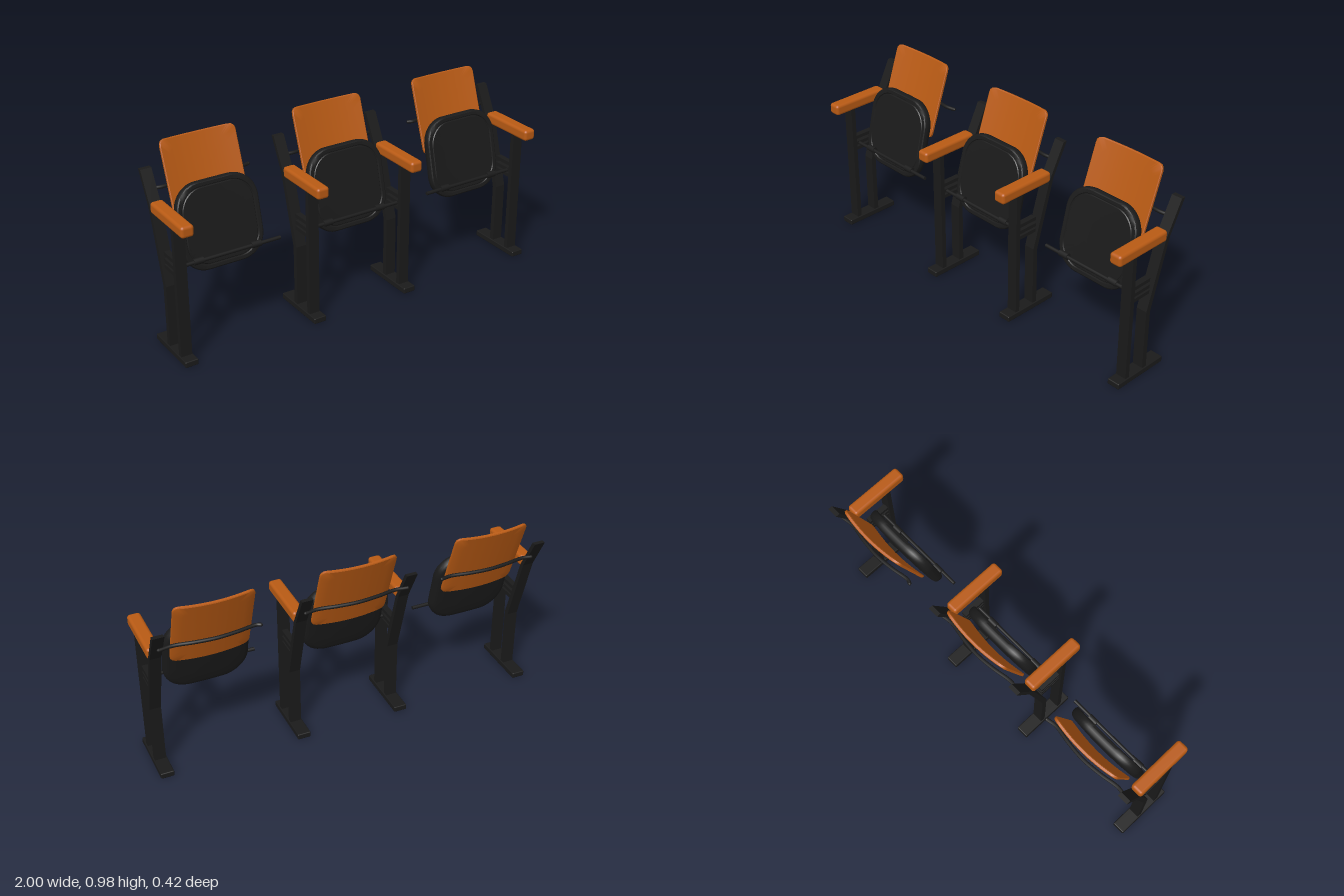
import * as THREE from 'three';
import { RoundedBoxGeometry } from 'three/addons/geometries/RoundedBoxGeometry.js';
import { toCreasedNormals } from 'three/addons/utils/BufferGeometryUtils.js';

const black = new THREE.MeshStandardMaterial({ color: 0x1a1a1a });
const wood = new THREE.MeshStandardMaterial({ color: 0xb85a14 });

function add(parent, name, geometry, material, x = 0, y = 0, z = 0) {
  const mesh = new THREE.Mesh(geometry, material);
  mesh.name = name;
  mesh.position.set(x, y, z);
  parent.add(mesh);
  return mesh;
}

// Rounded-rectangle slab from scaled rings [scale, z], back to front, bowed backwards across x
function slab(a, b, r, rings, bow) {
  const s = new THREE.Shape();
  s.moveTo(a, 0);
  s.absarc(a - r, b - r, r, 0, Math.PI / 2);
  s.absarc(-a + r, b - r, r, Math.PI / 2, Math.PI);
  s.absarc(-a + r, -b + r, r, Math.PI, Math.PI * 1.5);
  s.absarc(a - r, -b + r, r, Math.PI * 1.5, Math.PI * 2);
  s.closePath();
  const n = 96, outline = s.getSpacedPoints(n).slice(0, n);
  const pos = [], index = [];
  for (const [k, z] of rings)
    for (const p of outline) {
      const x = p.x * k;
      pos.push(x, p.y * k, z + bow * ((x / a) ** 2 - 0.5));
    }
  for (let i = 0; i < rings.length - 1; i++)
    for (let j = 0; j < n; j++) {
      const p = i * n + j, q = i * n + (j + 1) % n;
      index.push(p, q, q + n, p, q + n, p + n);
    }
  const g = new THREE.BufferGeometry();
  g.setAttribute('position', new THREE.Float32BufferAttribute(pos, 3));
  g.setIndex(index);
  return toCreasedNormals(g, 0.6);
}

// Side stand: foot, front post, bent rear post, hinge rails and armrest
function stand(x) {
  const g = new THREE.Group();
  g.name = 'stand';
  g.position.x = x;
  add(g, 'foot', new RoundedBoxGeometry(0.067, 0.03, 0.305, 2, 0.005), black, 0, 0.015, 0.0225);
  add(g, 'frontPost', new THREE.BoxGeometry(0.056, 0.67, 0.024), black, 0, 0.355, 0.11);

  // Profile in (z, y), turned so the extrusion runs along x
  const profile = [[0.006, 0.02], [0.006, 0.345], [-0.096, 0.69], [-0.183, 0.86],
    [-0.205, 0.86], [-0.12, 0.695], [-0.02, 0.34], [-0.02, 0.02]];
  const post = new THREE.ExtrudeGeometry(
    new THREE.Shape(profile.map(([z, y]) => new THREE.Vector2(-z, y))),
    { depth: 0.056, bevelEnabled: false });
  post.translate(0, 0, -0.028).rotateY(Math.PI / 2);
  add(g, 'rearPost', post, black);

  for (const y of [0.44, 0.47, 0.505])
    add(g, 'hingeRail', new THREE.BoxGeometry(0.03, 0.018, 0.12), black, 0, y, 0.04);
  add(g, 'armrest', new RoundedBoxGeometry(0.065, 0.057, 0.315, 3, 0.015), wood, 0, 0.7085, 0.0575);
  return g;
}

// Tipped-up seat, bowed backrest and the bars that carry them
function chair(x, [barL, barR], [backL, backR]) {
  const g = new THREE.Group();
  g.name = 'chair';

  const seat = add(g, 'seat', slab(0.21, 0.209, 0.125, [
    [0.001, -0.028], [0.3, -0.028], [0.6, -0.027], [0.86, -0.025], [0.94, -0.021], [0.985, -0.012],
    [1, 0], [1, 0.014], [0.985, 0.023], [0.96, 0.027], [0.89, 0.027], [0.875, 0.022], [0.86, 0.022],
    [0.845, 0.026], [0.6, 0.027], [0.3, 0.027], [0.001, 0.027]], 0.008), black, x, 0.598, -0.007);
  seat.rotation.x = -0.236;

  const back = add(g, 'backrest', slab(0.193, 0.195, 0.028, [
    [0.001, -0.008], [0.25, -0.008], [0.5, -0.008], [0.75, -0.008], [0.98, -0.008], [1, -0.005],
    [1, 0.005], [0.98, 0.008], [0.75, 0.008], [0.5, 0.008], [0.25, 0.008], [0.001, 0.008]], 0.02),
    wood, x, 0.796, -0.127);
  back.rotation.x = -0.338;

  // Rear bar follows the bow of the backrest
  const path = new THREE.CatmullRomCurve3([
    [backL, -0.163], [x - 0.2, -0.155], [x - 0.1, -0.17], [x, -0.178],
    [x + 0.1, -0.17], [x + 0.2, -0.155], [backR, -0.163],
  ].map(([px, pz]) => new THREE.Vector3(px, 0.766, pz)));
  add(g, 'backBar', new THREE.TubeGeometry(path, 40, 0.009, 8), black);
  for (const px of [backL, backR])
    add(g, 'barEnd', new THREE.SphereGeometry(0.009, 8, 6), black, px, 0.766, -0.163);

  // Pivot bar with two hinge blocks
  const bar = new THREE.CylinderGeometry(0.009, 0.009, barR - barL, 12).rotateZ(Math.PI / 2);
  add(g, 'seatBar', bar, black, (barL + barR) / 2, 0.467, 0.07);
  for (const side of [-1, 1])
    add(g, 'hinge', new THREE.CylinderGeometry(0.016, 0.016, 0.05, 12).rotateZ(Math.PI / 2),
      black, x + side * 0.15, 0.467, 0.066);
  return g;
}

export function createModel() {
  const model = new THREE.Group();
  model.name = 'seatRow';
  for (const x of [-0.9665, -0.272, 0.259, 0.9665]) model.add(stand(x));
  model.add(chair(-0.704, [-0.96, -0.425], [-0.95, -0.455]));
  model.add(chair(-0.008, [-0.26, 0.25], [-0.27, 0.255]));
  model.add(chair(0.693, [0.43, 0.96], [0.475, 0.96]));
  return model;
}
